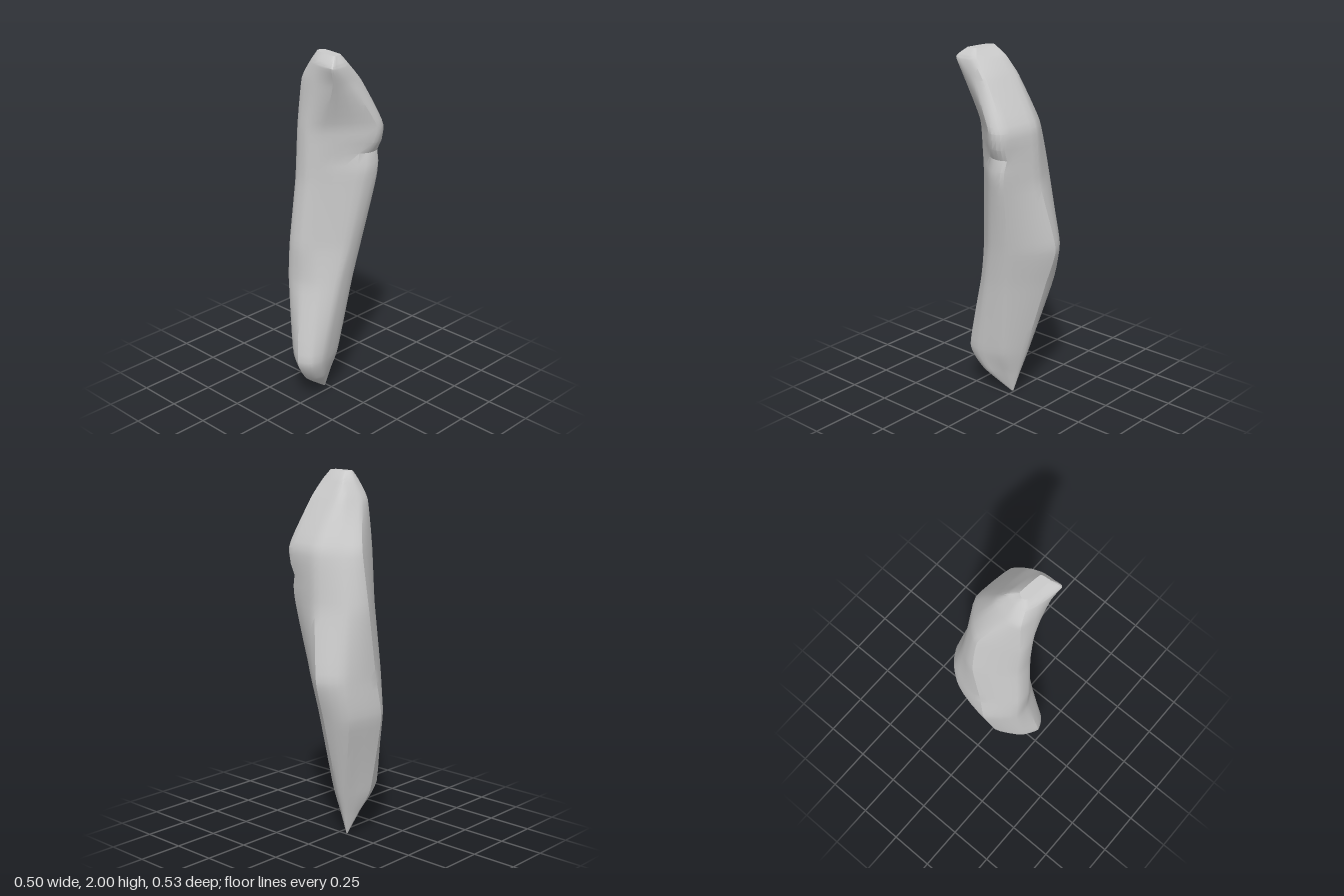
import * as THREE from 'three';
import { mergeVertices, toCreasedNormals } from 'three/addons/utils/BufferGeometryUtils.js';

// Main cross-sections: height, then eight corners as x, z pairs,
// going front, front-left, left, back-left, back, back-right, right, front-right.
const sections = [
  [0.27, 0, 0.265, 0.07, 0.23, 0.09, 0.15, 0.05, 0, -0.05, -0.075, -0.1, -0.06, -0.165, 0.07, -0.09, 0.21],
  [0.7, -0.04, 0.205, 0.05, 0.16, 0.12, 0.07, 0.1, -0.06, -0.07, -0.2, -0.205, -0.15, -0.248, 0.06, -0.13, 0.2],
  [0.93, -0.03, 0.205, 0.04, 0.145, 0.145, 0.02, 0.13, -0.1, -0.075, -0.265, -0.2, -0.185, -0.235, 0.03, -0.12, 0.2],
  [1.3, -0.01, 0.18, 0.055, 0.13, 0.195, -0.03, 0.2, -0.135, -0.01, -0.205, -0.17, -0.14, -0.227, -0.02, -0.1, 0.17],
  [1.6, 0, 0.185, 0.08, 0.13, 0.25, -0.08, 0.22, -0.155, 0, -0.185, -0.12, -0.11, -0.18, -0.02, -0.08, 0.17],
  [1.85, 0.04, 0.18, 0.17, 0.165, 0.205, 0.07, 0.195, -0.02, 0, -0.045, -0.05, -0.02, -0.08, 0.08, -0.06, 0.155],
  [1.95, 0.06, 0.17, 0.19, 0.195, 0.195, 0.15, 0.18, 0.06, 0.01, 0.02, -0.01, 0.04, -0.025, 0.09, -0.01, 0.14],
];

const CORNERS = 8, AROUND = 32, STEPS = 6;

const corners = ([y, ...p]) => Array.from({ length: CORNERS }, (_, k) =>
  new THREE.Vector3(p[2 * k], y, p[2 * k + 1]));

// Shrink a ring of corners towards a centre and move it to the centre's height
const shrink = (ring, centre, scaleX, scaleZ) => ring.map((v, k) => new THREE.Vector3(
  centre.x + (v.x - centre.x) * scaleX(k), centre.y, centre.z + (v.z - centre.z) * scaleZ(k)));

// All rings from the pointed foot, fuller at the front left, to the narrow top ridge
function shardRings() {
  const main = sections.map(corners);
  const tip = new THREE.Vector3(-0.045, 0, 0.01);
  const aboveTip = new THREE.Vector3(-0.045, 0.13, 0.01);
  const ridge = new THREE.Vector3(0.085, 2, 0.11);
  const taper = k => (k < 3 ? 0.7 : 0.48);
  return [
    shrink(main[0], tip, () => 0.03, () => 0.03),
    shrink(main[0], aboveTip, taper, taper),
    ...main,
    shrink(main.at(-1), ridge, () => 0.7, () => 0.4),
  ];
}

// Loft through the rings, softly rounded both ways
function shardGeometry() {
  const rings = shardRings();
  const edges = Array.from({ length: CORNERS }, (_, k) =>
    new THREE.CatmullRomCurve3(rings.map(ring => ring[k]), false, 'catmullrom', 0.25));
  const rows = (rings.length - 1) * STEPS;
  const positions = [], index = [];

  for (let r = 0; r <= rows; r++) {
    const ring = edges.map(edge => edge.getPoint(r / rows));
    // Notch chipped into the left and back-left corners
    const notch = 1 - 0.11 * Math.exp(-(((ring[0].y - 1.45) / 0.045) ** 2));
    ring[2].x *= notch;
    ring[3].x *= notch;
    const outline = new THREE.CatmullRomCurve3(ring, true, 'catmullrom', 0.28);
    for (let a = 0; a < AROUND; a++) positions.push(...outline.getPoint(a / AROUND).toArray());
  }

  for (let r = 0; r < rows; r++) {
    for (let a = 0; a < AROUND; a++) {
      const i = r * AROUND + a, j = r * AROUND + (a + 1) % AROUND;
      index.push(i, j, j + AROUND, i, j + AROUND, i + AROUND);
    }
  }

  // Close the foot and the top ridge with fans
  for (const row of [0, rows]) {
    const start = row * AROUND, centre = new THREE.Vector3();
    for (let a = 0; a < AROUND; a++) {
      centre.add(new THREE.Vector3().fromArray(positions, (start + a) * 3));
    }
    const c = positions.length / 3;
    positions.push(...centre.divideScalar(AROUND).toArray());
    for (let a = 0; a < AROUND; a++) {
      const i = start + a, j = start + (a + 1) % AROUND;
      index.push(c, row ? i : j, row ? j : i);
    }
  }

  const geometry = new THREE.BufferGeometry();
  geometry.setAttribute('position', new THREE.Float32BufferAttribute(positions, 3));
  geometry.setIndex(index);
  return toCreasedNormals(mergeVertices(geometry), 0.45);
}

export function createModel() {
  const group = new THREE.Group();
  group.name = 'rockShard';
  const stone = new THREE.Mesh(shardGeometry(), new THREE.MeshStandardMaterial({ color: 0xcccccc }));
  stone.name = 'stone';
  group.add(stone);
  return group;
}
